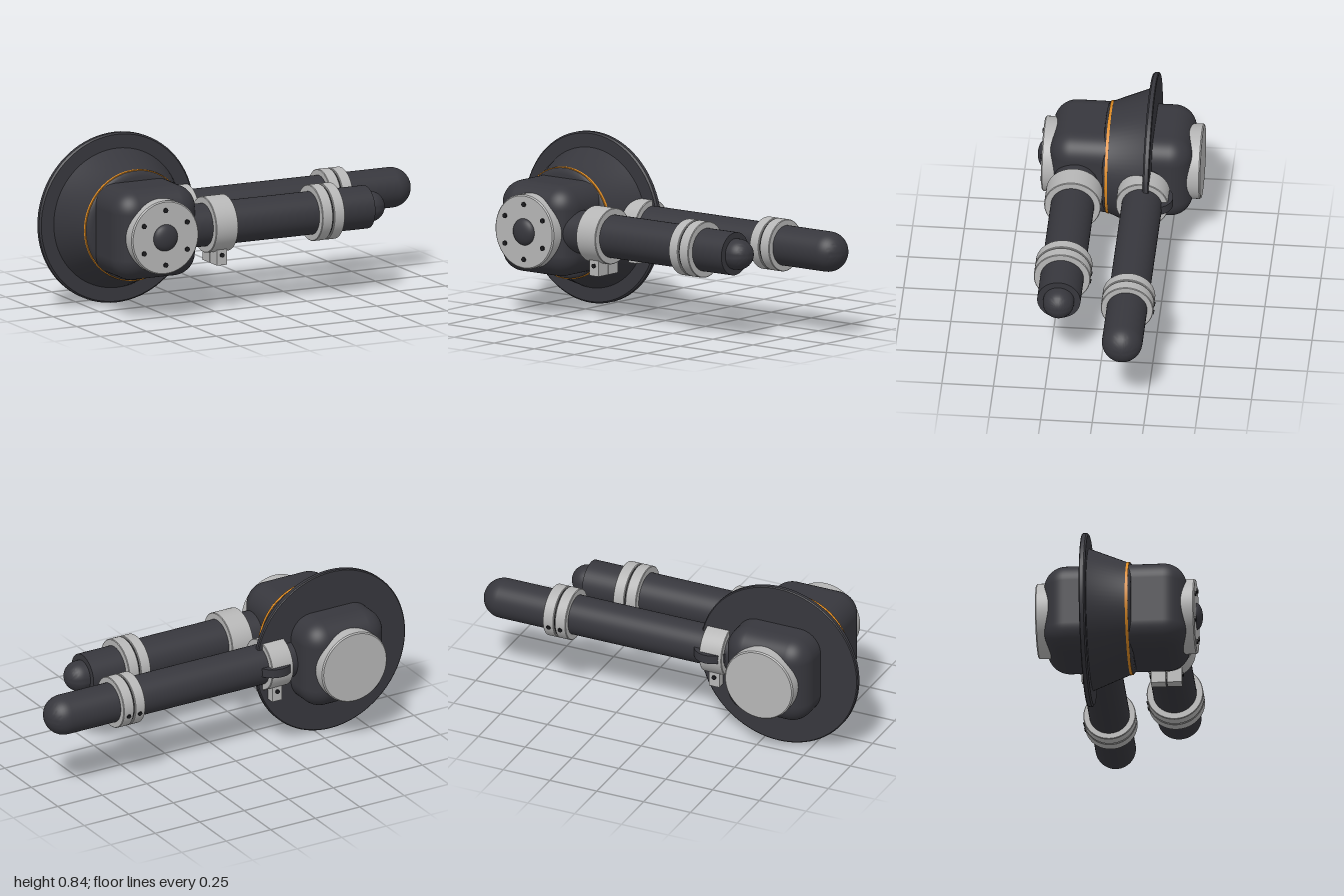
import * as THREE from 'three';
import { RoundedBoxGeometry } from 'three/addons/geometries/RoundedBoxGeometry.js';
import { toCreasedNormals } from 'three/addons/utils/BufferGeometryUtils.js';

const CX = -0.58, CY = 0.422;

function makeMaterial(name, color) {
  const m = new THREE.MeshStandardMaterial({ color });
  m.name = name;
  return m;
}

export function createModel() {
  const charcoal = makeMaterial('charcoal', 0x37373d);
  const silver = makeMaterial('silver', 0xb6b6b6);
  const orange = makeMaterial('orange', 0xdd8a22);
  const black = makeMaterial('black', 0x1c1c1f);
  const root = new THREE.Group();
  root.name = 'twinArmJoint';

  function add(parent, name, geometry, material, x = 0, y = 0, z = 0) {
    const mesh = new THREE.Mesh(geometry, material);
    mesh.name = name;
    mesh.position.set(x, y, z);
    parent.add(mesh);
    return mesh;
  }
  // Turned solid from [radius, position] pairs, spun about +x or +z
  function turned(points, axis, segments = 64) {
    const g = new THREE.LatheGeometry(points.map(p => new THREE.Vector2(p[0], p[1])), segments);
    if (axis === 'x') g.rotateZ(-Math.PI / 2);
    if (axis === 'z') g.rotateX(Math.PI / 2);
    return toCreasedNormals(g, 0.6);
  }
  // Plain disc or cylinder between two positions
  const drum = (r, a, b, axis, s) => turned([[0, a], [r, a], [r, b], [0, b]], axis, s);
  const bevelDrum = (r, a, b, axis, e = 0.006) =>
    turned([[0, a], [r - e, a], [r, a + e], [r, b - e], [r - e, b], [0, b]], axis);
  // Quarter-circle end running from radius r at position a to the axis
  const domeEnd = (r, a) => Array.from({ length: 13 }, (_, i) => {
    const t = i / 12 * Math.PI / 2;
    return [i === 12 ? 0 : r * Math.cos(t), a + r * Math.sin(t)];
  });

  // Central housing with round covers
  const hub = new THREE.Group();
  hub.name = 'hub';
  hub.position.set(CX, CY, 0);
  root.add(hub);
  add(hub, 'housing', new RoundedBoxGeometry(0.445, 0.446, 0.69, 8, 0.11), charcoal, 0, 0, -0.015);
  add(hub, 'frontCover', bevelDrum(0.182, 0.25, 0.37, 'z'), silver);
  add(hub, 'backCover', bevelDrum(0.182, -0.4, -0.28, 'z'), silver);
  const cap = add(hub, 'frontCap', new THREE.SphereGeometry(0.066, 32, 20), charcoal, 0, 0, 0.367);
  cap.scale.z = 0.5;
  for (let i = 0; i < 6; i++) {
    const a = Math.PI / 2 + i * Math.PI / 3;
    add(hub, 'coverBolt', drum(0.012, 0.36, 0.377, 'z', 12), black,
      0.135 * Math.cos(a), 0.135 * Math.sin(a), 0);
  }

  // Conical skirt with a wide flange and an accent ring
  add(hub, 'skirt', turned([[0, -0.15], [0.348, -0.15], [0.272, 0.043], [0.272, 0.05],
    [0.267, 0.06], [0.257, 0.067], [0.24, 0.07], [0, 0.07]], 'z', 80), charcoal);
  add(hub, 'flange', turned([[0, -0.17], [0.415, -0.17], [0.42, -0.166], [0.42, -0.148],
    [0.412, -0.14], [0, -0.14]], 'z', 80), charcoal);
  add(hub, 'accentRing', drum(0.274, 0.042, 0.055, 'z', 80), orange);

  // Arm with a root collar, a split ring and clamp blocks
  function makeArm(o) {
    const arm = new THREE.Group();
    arm.name = o.name;
    arm.position.set(0, CY + 0.002, o.z);
    root.add(arm);
    add(arm, 'tube', turned(o.profile, 'x', 48), charcoal);
    add(arm, 'rootCollar', bevelDrum(o.ringRadius, o.collar, o.collar + 0.12, 'x', 0.003), silver);
    add(arm, 'ringInner', bevelDrum(o.ringRadius, o.ring, o.ring + 0.057, 'x', 0.003), silver);
    add(arm, 'ringOuter', bevelDrum(o.ringRadius, o.ring + 0.064, o.ring + 0.122, 'x', 0.003), silver);
    add(arm, 'ringGap', drum(o.ringRadius - 0.008, o.ring + 0.05, o.ring + 0.07, 'x', 48), black);
    // Screw pair on the rear of the split ring
    for (const dx of [0.03, 0.092]) {
      const a = -0.25, r = o.ringRadius;
      const screw = add(arm, 'ringScrew', drum(0.011, -0.01, 0.005, 'z', 12), black,
        o.ring + dx, r * Math.sin(a), -r * Math.cos(a));
      screw.rotation.x = Math.PI + a;
    }
    // Clamp lugs under the collar
    const w = 0.072, lugX = o.collar + 0.062;
    for (const s of [-1, 1]) {
      add(arm, 'clampLug', new THREE.BoxGeometry(0.055, 0.11, w), silver,
        lugX, o.lugBottom + 0.055, s * (w / 2 + 0.003));
      add(arm, 'lugScrew', drum(0.011, -0.006, 0.006, 'z', 12), black,
        lugX, o.lugBottom + 0.05, s * (w + 0.004));
    }
    return arm;
  }

  makeArm({
    name: 'frontArm', z: 0.197, ringRadius: 0.137, collar: -0.285, ring: 0.292, lugBottom: -0.192,
    profile: [[0, -0.5], [0.105, -0.5], [0.105, 0.595], [0.075, 0.595], ...domeEnd(0.075, 0.615)],
  });
  const backArm = makeArm({
    name: 'backArm', z: -0.137, ringRadius: 0.127, collar: -0.317, ring: 0.515, lugBottom: -0.178,
    profile: [[0, -0.5], [0.098, -0.5], ...domeEnd(0.098, 0.902)],
  });

  // Round latch plate behind the rear collar
  add(backArm, 'latchPlate', drum(0.092, -0.022, 0.022, 'y', 40), charcoal, -0.24, 0.004, -0.056);

  return root;
}
